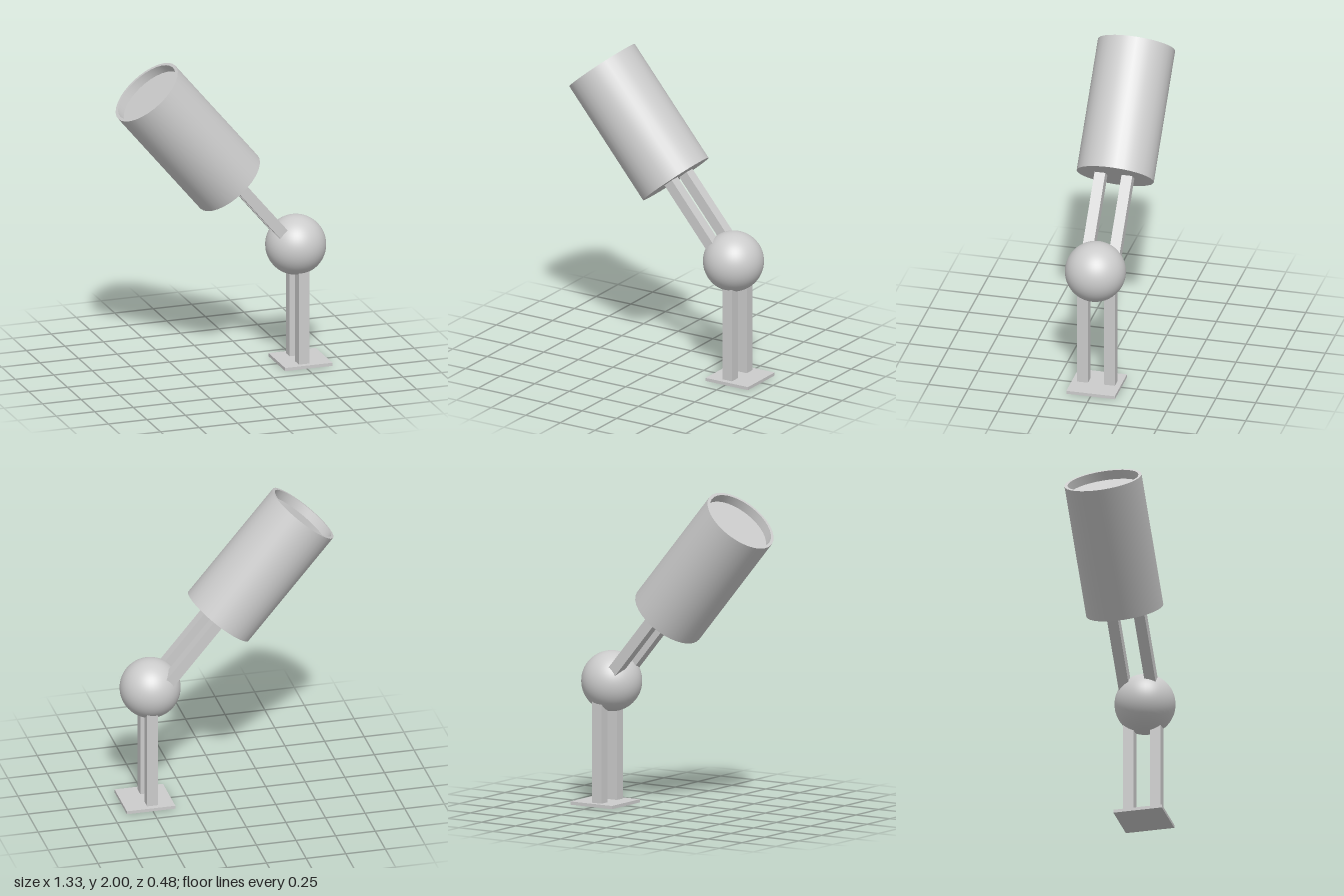
import * as THREE from 'three';
import { toCreasedNormals } from 'three/addons/utils/BufferGeometryUtils.js';

export function createModel() {
  const model = new THREE.Group();
  const grey = new THREE.MeshStandardMaterial({ color: 0xcccccc });
  grey.name = 'light grey';

  function add(parent, name, geometry, x, y, z) {
    const mesh = new THREE.Mesh(geometry, grey);
    mesh.name = name;
    mesh.position.set(x, y, z);
    parent.add(mesh);
    return mesh;
  }

  // Foot plate and the ball joint
  add(model, 'basePlate', new THREE.BoxGeometry(0.306, 0.02, 0.306), 0.512, 0.01, 0);
  add(model, 'ballJoint', new THREE.SphereGeometry(0.187, 48, 32), 0.475, 0.763, 0.017);

  // Tilted head: drum and the arms that carry it, along local y
  const head = new THREE.Group();
  head.name = 'tiltedHead';
  head.position.set(0.0475, 1.2075, 0);
  head.rotation.z = THREE.MathUtils.degToRad(39.9);
  model.add(head);

  // Drum with a shallow recess in its upper end
  const R = 0.239, r = 0.22, length = 0.831, depth = 0.057;
  const profile = [[0, 0], [R, 0], [R, length], [r, length], [r, length - depth], [0, length - depth]]
    .map(([x, y]) => new THREE.Vector2(x, y));
  add(head, 'drum', toCreasedNormals(new THREE.LatheGeometry(profile, 32), 0.6), 0, 0, 0);

  // Paired legs and arms, both ending inside the ball
  for (const [side, s] of [['left', 1], ['right', -1]]) {
    const z = 0.085 * s;
    add(model, side + 'Leg', new THREE.BoxGeometry(0.068, 0.68, 0.068), 0.494, 0.36, z);
    add(head, side + 'Arm', new THREE.BoxGeometry(0.068, 0.57, 0.068), 0.025, -0.275, z);
  }
  return model;
}
